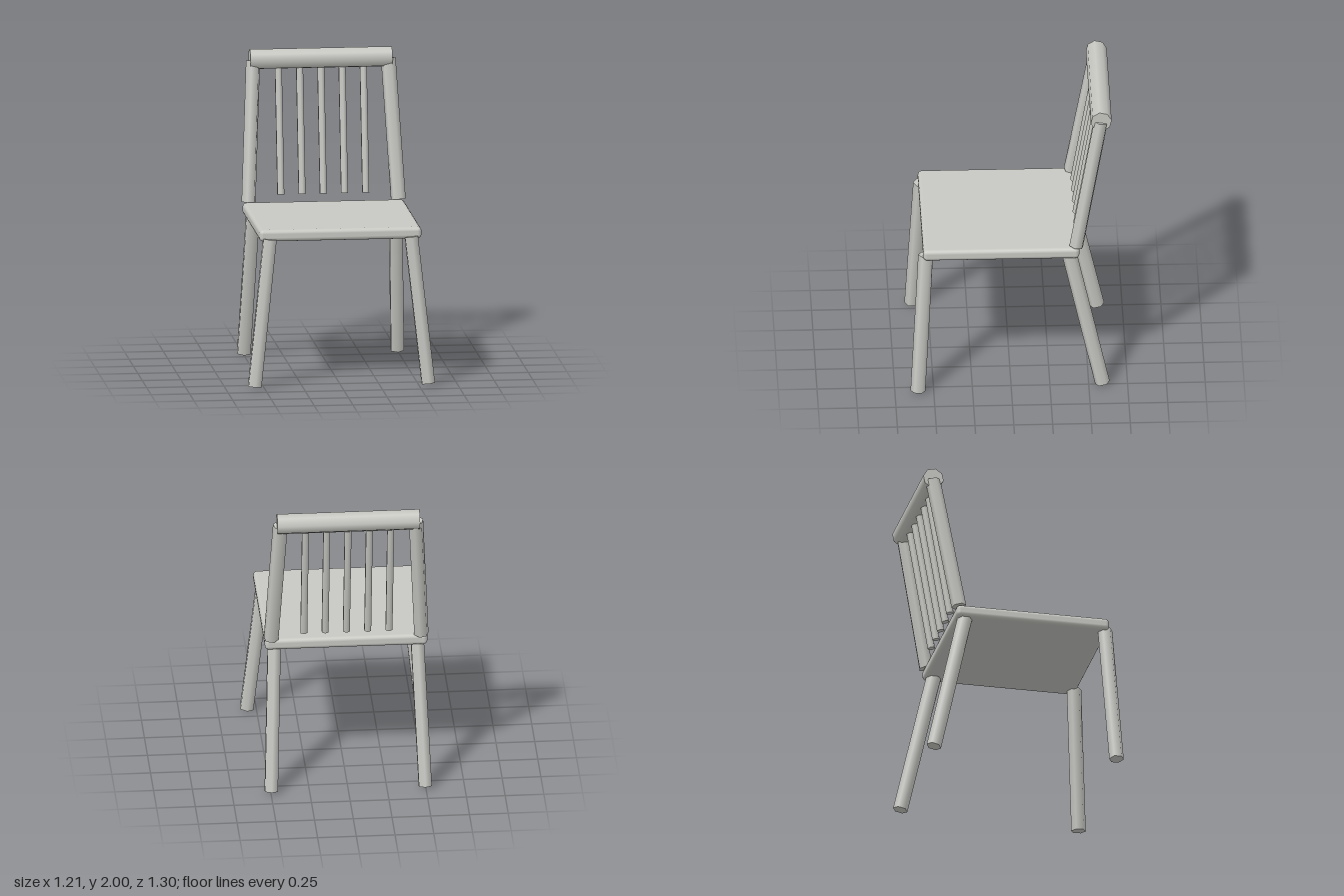
import * as THREE from 'three';
import { RoundedBoxGeometry } from 'three/addons/geometries/RoundedBoxGeometry.js';

const UP = new THREE.Vector3(0, 1, 0);

export function createModel() {
  const chair = new THREE.Group();
  chair.name = 'chair';
  const paleGrey = new THREE.MeshStandardMaterial({ color: 0xc8c8c3 });
  paleGrey.name = 'paleGrey';

  // Straight rod between the centres of its two ends
  function rod(name, from, to, radius, sides = 6, twist = 0) {
    const a = new THREE.Vector3(...from);
    const axis = new THREE.Vector3(...to).sub(a);
    const geometry = new THREE.CylinderGeometry(radius, radius, axis.length(), sides);
    geometry.rotateY(twist);
    const mesh = new THREE.Mesh(geometry, paleGrey);
    mesh.name = name;
    mesh.position.copy(a).addScaledVector(axis, 0.5);
    mesh.quaternion.setFromUnitVectors(UP, axis.normalize());
    chair.add(mesh);
  }

  // Seat slab with softened edges
  const seat = new THREE.Mesh(new RoundedBoxGeometry(1.05, 0.076, 1.006, 2, 0.026), paleGrey);
  seat.name = 'seat';
  seat.position.set(0, 0.988, 0.063);
  chair.add(seat);

  // Splayed legs and back posts, mirrored
  for (const [side, s] of [['left', 1], ['right', -1]]) {
    rod(`${side}FrontLeg`, [s * 0.562, 0.012, 0.602], [s * 0.458, 0.965, 0.549], 0.048);
    rod(`${side}BackLeg`, [s * 0.497, 0.012, -0.588], [s * 0.462, 0.965, -0.374], 0.048);
    rod(`${side}BackPost`, [s * 0.485, 1.027, -0.42], [s * 0.438, 1.925, -0.581], 0.048, 6, s * 0.3);
  }

  // Thin spindles of the backrest
  for (let i = -2; i <= 2; i++) {
    rod('spindle', [i * 0.1375, 1.073, -0.432], [i * 0.1375, 1.91, -0.577], 0.025);
  }

  // Thick top rail
  rod('topRail', [-0.46, 1.934, -0.582], [0.46, 1.934, -0.582], 0.068, 8, 0.17);

  return chair;
}
